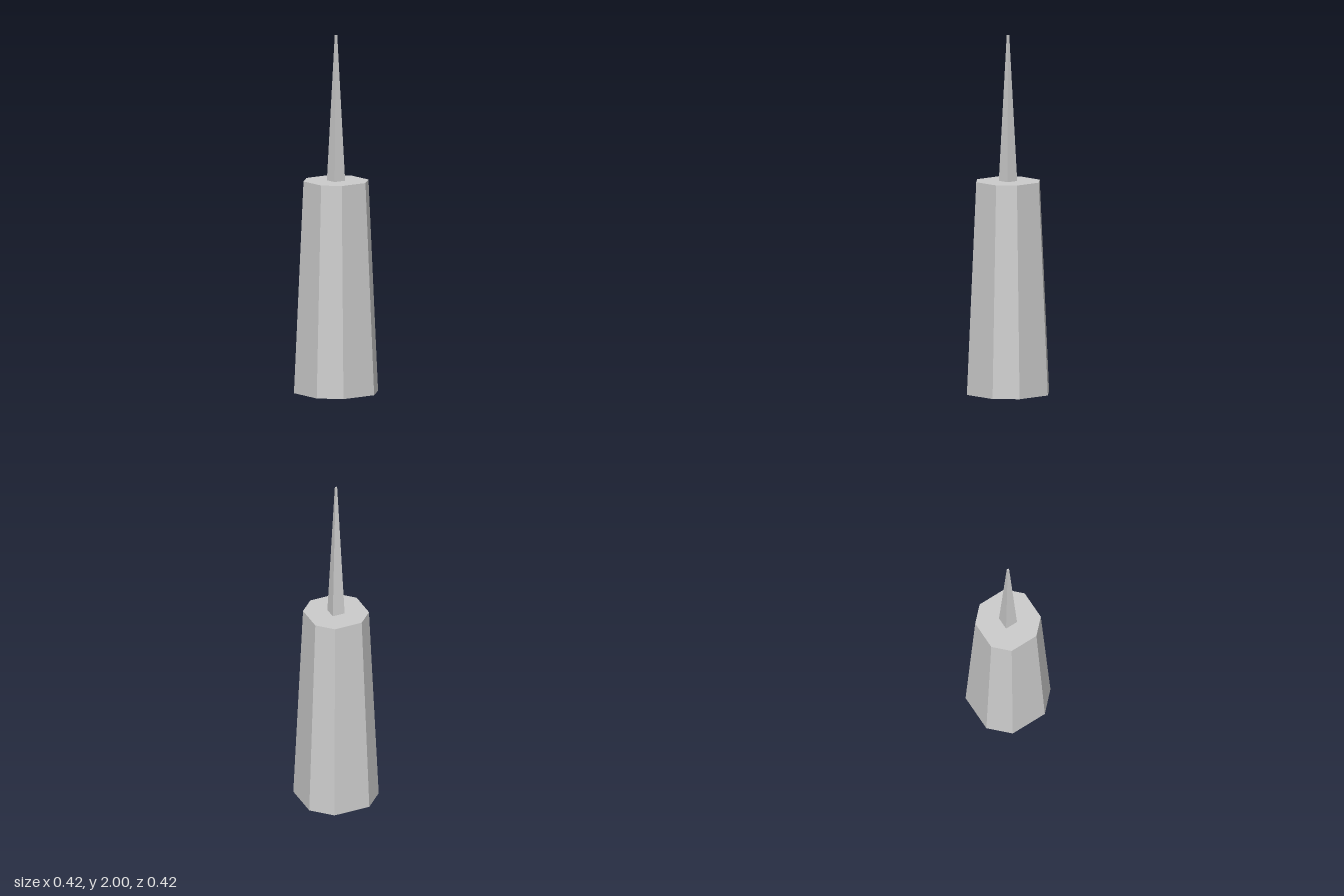
import * as THREE from 'three';

const material = new THREE.MeshStandardMaterial({ color: 0xcccccc, flatShading: true });

// Tapered column, given as half widths at the top and bottom
function taper(name, sides, topHalf, bottomHalf, y0, y1) {
  const k = 1 / Math.cos(Math.PI / sides);
  const geometry = new THREE.CylinderGeometry(
    topHalf * k, bottomHalf * k, y1 - y0, sides, 1, false, Math.PI / sides);
  geometry.translate(0, (y0 + y1) / 2, 0);
  const mesh = new THREE.Mesh(geometry, material);
  mesh.name = name;
  return mesh;
}

export function createModel() {
  const group = new THREE.Group();
  group.name = 'spireTower';

  // Octagonal shaft: a square with its corners cut at half of the half width
  const shaft = taper('shaft', 8, 0.163, 0.211, 0, 1.185);
  const p = shaft.geometry.attributes.position;
  for (let i = 0; i < p.count; i++) {
    const x = p.getX(i), z = p.getZ(i);
    const h = Math.max(Math.abs(x), Math.abs(z));
    if (Math.abs(x) > Math.abs(z)) p.setZ(i, Math.sign(z) * h / 2);
    else p.setX(i, Math.sign(x) * h / 2);
  }
  shaft.geometry.computeVertexNormals();
  group.add(shaft);

  // Slender square needle on the flat top
  group.add(taper('spire', 4, 0.005, 0.036, 1.185, 2));
  return group;
}
